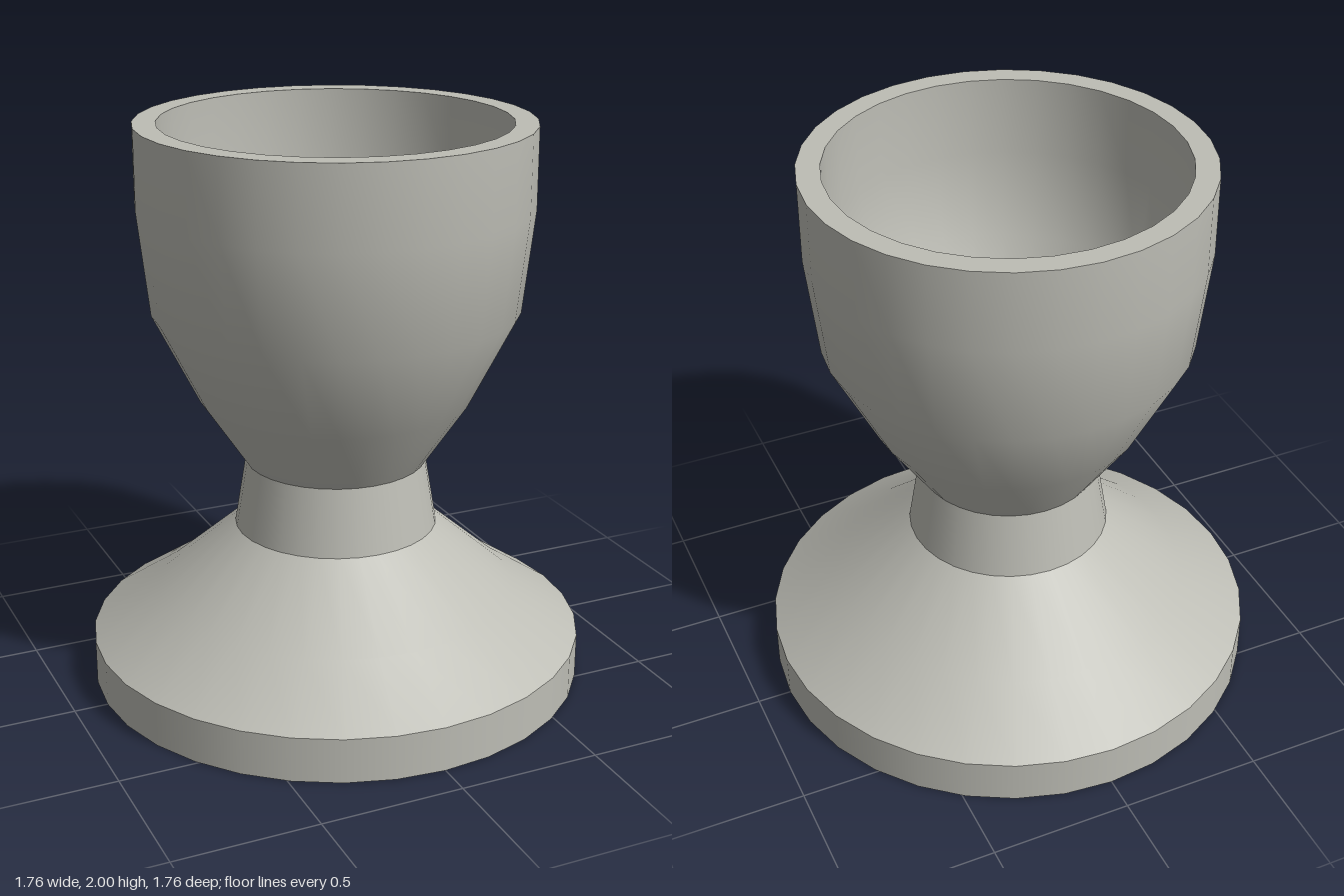
import * as THREE from 'three';

const SEGMENTS = 32;

export function createModel() {
  const model = new THREE.Group();
  model.name = 'eggCup';

  const stone = new THREE.MeshStandardMaterial({ color: 0xbdbdb5 });
  stone.name = 'warm grey';

  // Each section is smooth in itself; sharp edges fall between sections.
  // Points are [radius, height], running up the outside and down the inside.
  const section = (name, points) => {
    const profile = points.map(([r, y]) => new THREE.Vector2(r, y));
    const mesh = new THREE.Mesh(new THREE.LatheGeometry(profile, SEGMENTS), stone);
    mesh.name = name;
    model.add(mesh);
  };

  // Foot
  section('footUnderside', [[0, 0], [0.88, 0]]);
  section('footEdge', [[0.88, 0], [0.88, 0.16]]);
  section('footSlope', [[0.88, 0.16], [0.64, 0.32], [0.36, 0.56]]);

  // Stem
  section('neck', [[0.36, 0.56], [0.32, 0.8]]);

  // Bowl
  section('bowlOutside', [[0.32, 0.8], [0.48, 1.04], [0.64, 1.36], [0.68, 1.72], [0.68, 2]]);
  section('rim', [[0.68, 2], [0.6, 2]]);
  section('bowlInside', [[0.6, 2], [0.6, 1.72], [0.56, 1.4], [0.4, 1.12]]);
  section('bowlFloor', [[0.4, 1.12], [0, 1.04]]);

  return model;
}
